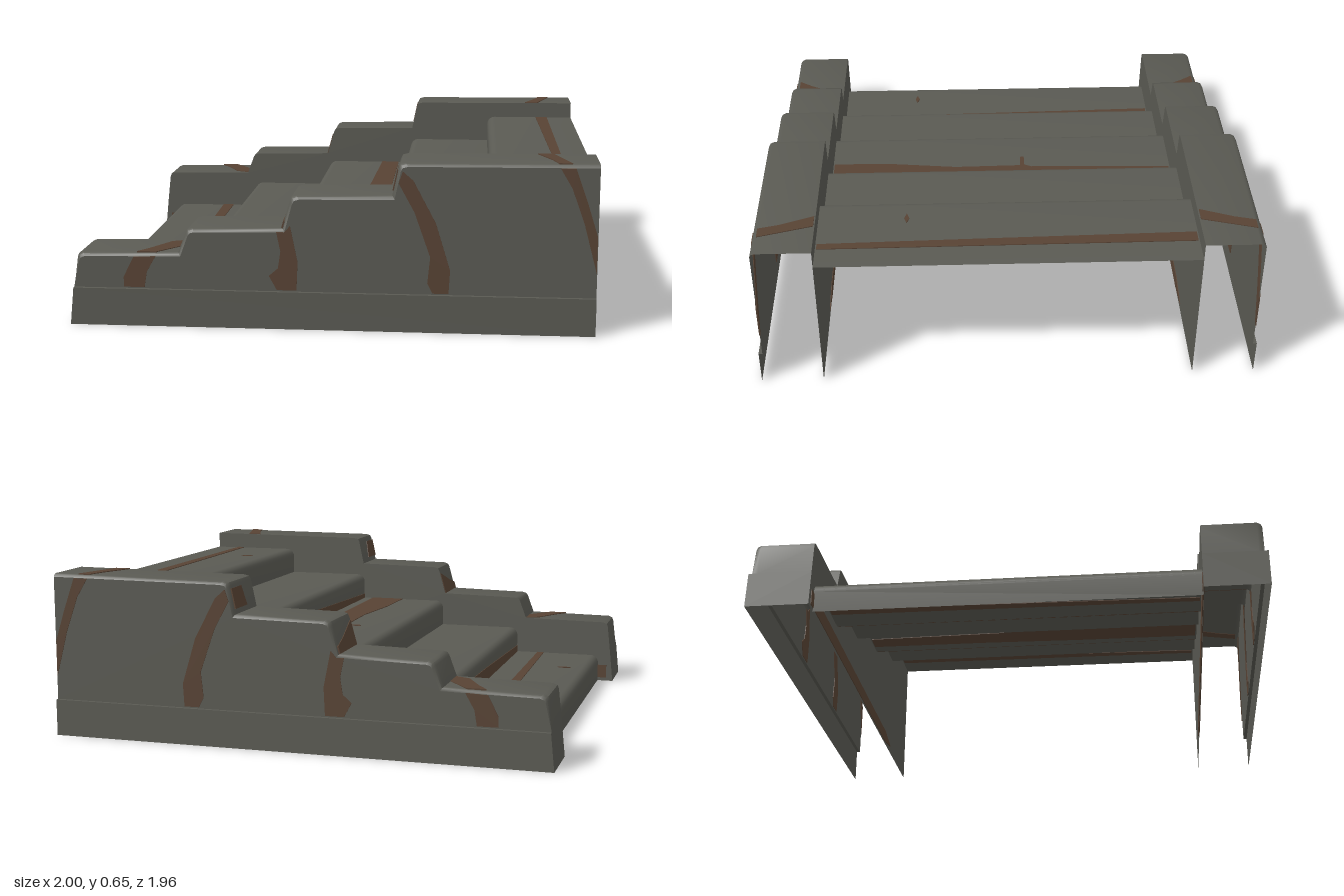
import * as THREE from 'three';
import { toCreasedNormals } from 'three/addons/utils/BufferGeometryUtils.js';

const stone = new THREE.MeshStandardMaterial({ color: 0x5a5a53, side: THREE.DoubleSide });
stone.name = 'grey stone';
const rust = new THREE.MeshStandardMaterial({ color: 0x584334, side: THREE.DoubleSide });
rust.name = 'brown vein';

const V = (x, y, z) => new THREE.Vector3(x, y, z);
const INNER = 0.735, OUTER = 0.965, PLINTH = 0.98, LEDGE = 0.145;

// Stepped outline of a side wall, from the ledge at the low end to the high end
const wallLine = [
  [-0.985, LEDGE], [-0.972, 0.26], [-0.967, 0.273], [-0.95, 0.28], [-0.58, 0.285],
  [-0.55, 0.365], [-0.543, 0.376], [-0.525, 0.381], [-0.18, 0.388],
  [-0.15, 0.495], [-0.143, 0.508], [-0.125, 0.514], [0.235, 0.52],
  [0.258, 0.628], [0.265, 0.64], [0.285, 0.645], [1, 0.65],
];
// The same outline pulled in for the softened outer edge
const insetLine = wallLine.map(([x, y], i) => [Math.min(1, x + (i ? 0.01 : 0)), i ? y - 0.013 : y]);

function add(parent, name, geometry, material = stone) {
  const mesh = new THREE.Mesh(geometry, material);
  mesh.name = name;
  parent.add(mesh);
  return mesh;
}

// Sheet through rows of points
function sheet(rows) {
  const n = rows[0].length, index = [];
  for (let i = 0; i < rows.length - 1; i++) {
    for (let j = 0; j < n - 1; j++) {
      const a = i * n + j, b = a + n;
      index.push(a, a + 1, b, b, a + 1, b + 1);
    }
  }
  const geo = new THREE.BufferGeometry().setFromPoints(rows.flat());
  geo.setIndex(index);
  return toCreasedNormals(geo, 0.75);
}

const shapeOf = pts => new THREE.Shape(pts.map(([x, y]) => new THREE.Vector2(x, y)));

// Thin painted plate lying in the plane through origin spanned by u and v
function vein(parent, name, pts, origin, u, v) {
  const geo = new THREE.ExtrudeGeometry(shapeOf(pts), { depth: 0.006, bevelEnabled: false });
  geo.translate(0, 0, -0.003);
  u.normalize();
  v.normalize();
  const m = new THREE.Matrix4().makeBasis(u, v, u.clone().cross(v)).setPosition(origin);
  add(parent, name, geo.applyMatrix4(m), rust);
}

function buildStairs() {
  const g = new THREE.Group();
  g.name = 'stairs';
  const edges = [-0.93, -0.54, -0.17, 0.23, 0.6, 1], r = 0.035;
  const line = [[edges[0], 0]];
  // Riser, rounded nose and tread of each step
  for (let i = 0; i < 5; i++) {
    const y = 0.12 + i * 0.115;
    for (let k = 0; k <= 6; k++) {
      const a = (k / 6) * Math.PI / 2;
      line.push([edges[i] + r * (1 - Math.cos(a)), y - r * (1 - Math.sin(a))]);
    }
    line.push([edges[i + 1], y]);
  }
  add(g, 'steps', sheet(line.map(([x, y]) => [V(x, y, -INNER), V(x, y, INNER)])));

  // Veins on treads, as (x, -z)
  const tread = (y, pts) => vein(g, 'treadVein', pts, V(0, y, 0), V(1, 0, 0), V(0, 0, -1));
  tread(0.12, [[-0.67, -0.73], [-0.64, -0.73], [-0.648, 0], [-0.655, 0.73], [-0.705, 0.73], [-0.685, -0.1]]);
  tread(0.35, [[0.035, -0.73], [0.185, -0.73], [0.182, -0.2], [0.172, 0.2], [0.17, 0.73], [0.09, 0.73],
    [0.075, 0.13], [0.06, 0.1], [0, 0.1], [0, 0.085], [0.065, 0.08], [0.07, -0.2], [0.04, -0.48]]);
  tread(0.58, [[0.865, -0.73], [0.895, -0.73], [0.89, 0], [0.885, 0.73], [0.832, 0.73], [0.85, -0.1]]);
  for (const [x, y] of [[-0.82, 0.12], [0.715, 0.58]]) {
    tread(y, [[x - 0.03, -0.39], [x, -0.4], [x + 0.03, -0.39], [x, -0.38]]);
  }
  // Veins along the foot of two risers, as (z, y)
  const riser = (x, y, a, b) => vein(g, 'riserVein',
    [[-0.73, 0], [0.73, 0], [0.73, a], [0, (a + b) / 2 + 0.006], [-0.73, b]], V(x, y, 0), V(0, 0, 1), V(0, 1, 0));
  riser(-0.54, 0.12, 0.03, 0.07);
  riser(0.23, 0.35, 0.02, 0.06);
  return g;
}

function buildSideWall(s) {
  const g = new THREE.Group();
  g.name = s > 0 ? 'frontSideWall' : 'backSideWall';

  // Stepped coping with a softened outer edge
  add(g, 'coping', sheet(wallLine.map(([x, y], i) => {
    const [ix, iy] = insetLine[i];
    return [V(x, y, s * INNER), V(x, y, s * (OUTER - 0.02)),
      V((x + ix) / 2, y * 0.7 + iy * 0.3, s * (OUTER - 0.006)), V(ix, iy, s * OUTER)];
  })));
  add(g, 'outerPanel', new THREE.ShapeGeometry(shapeOf([...insetLine, [1, LEDGE]])))
    .position.z = s * OUTER;
  add(g, 'innerPanel', new THREE.ShapeGeometry(shapeOf([[-1, 0], ...wallLine, [1, 0]])))
    .position.z = s * INNER;

  // Plinth: low end, outer face and narrow ledge
  add(g, 'plinthEnd', sheet([
    [V(-1, 0, s * INNER), V(-1, 0, s * PLINTH)],
    [V(-0.985, LEDGE, s * INNER), V(-0.985, LEDGE, s * PLINTH)]]));
  add(g, 'plinthFace', sheet([
    [V(-1, 0, s * PLINTH), V(1, 0, s * PLINTH)],
    [V(-0.985, LEDGE, s * PLINTH), V(1, LEDGE, s * PLINTH)],
    [V(-0.985, LEDGE, s * OUTER), V(1, LEDGE, s * OUTER)]]));

  // Veins on the outer panel, as (x, y)
  for (const pts of [
    [[-0.79, 0.15], [-0.71, 0.15], [-0.7, 0.21], [-0.665, 0.272], [-0.75, 0.268], [-0.79, 0.19]],
    [[-0.2, 0.15], [-0.125, 0.15], [-0.12, 0.26], [-0.148, 0.4], [-0.17, 0.375], [-0.2, 0.375],
      [-0.185, 0.3], [-0.195, 0.235], [-0.23, 0.205]],
    [[0.39, 0.15], [0.45, 0.15], [0.455, 0.24], [0.4, 0.42], [0.315, 0.58], [0.275, 0.615],
      [0.26, 0.57], [0.32, 0.46], [0.38, 0.29], [0.37, 0.19]],
    [[0.855, 0.635], [0.912, 0.635], [0.96, 0.5], [0.998, 0.38], [0.998, 0.24], [0.95, 0.42], [0.9, 0.56]],
  ]) vein(g, 'panelVein', pts, V(0, 0, s * OUTER), V(1, 0, 0), V(0, 1, 0));

  // Veins on the coping flats, as (x, distance from centre)
  const flat = (y, pts) => vein(g, 'copingVein', pts, V(0, y, 0), V(1, 0, 0), V(0, 0, s));
  flat(0.284, [[-0.74, 0.95], [-0.665, 0.95], [-0.58, 0.84], [-0.58, 0.745], [-0.64, 0.775], [-0.7, 0.89]]);
  flat(0.649, [[0.85, 0.95], [0.9, 0.95], [0.84, 0.74], [0.78, 0.74], [0.83, 0.87]]);

  // Veins on two sloping coping risers, as (distance from centre, height up the slope)
  vein(g, 'slopeVein', [[0.74, 0], [0.955, 0], [0.955, 0.03], [0.88, 0.05], [0.74, 0.1]],
    V(-0.18, 0.388, 0), V(0, 0, s), V(0.03, 0.107, 0));
  vein(g, 'slopeVein', [[0.83, 0.02], [0.95, 0.02], [0.95, 0.1], [0.85, 0.1]],
    V(0.235, 0.52, 0), V(0, 0, s), V(0.023, 0.108, 0));

  // Vein along the foot of the inner panel
  vein(g, 'footVein', [[-0.97, 0.015], [0.5, 0.01], [0.63, 0.03], [0.5, 0.06], [0, 0.065], [-0.97, 0.075]],
    V(0, 0, s * INNER), V(1, 0, 0), V(0, 1, 0));
  return g;
}

export function createModel() {
  const model = new THREE.Group();
  model.name = 'stoneStaircase';
  model.add(buildStairs(), buildSideWall(1), buildSideWall(-1));
  return model;
}
